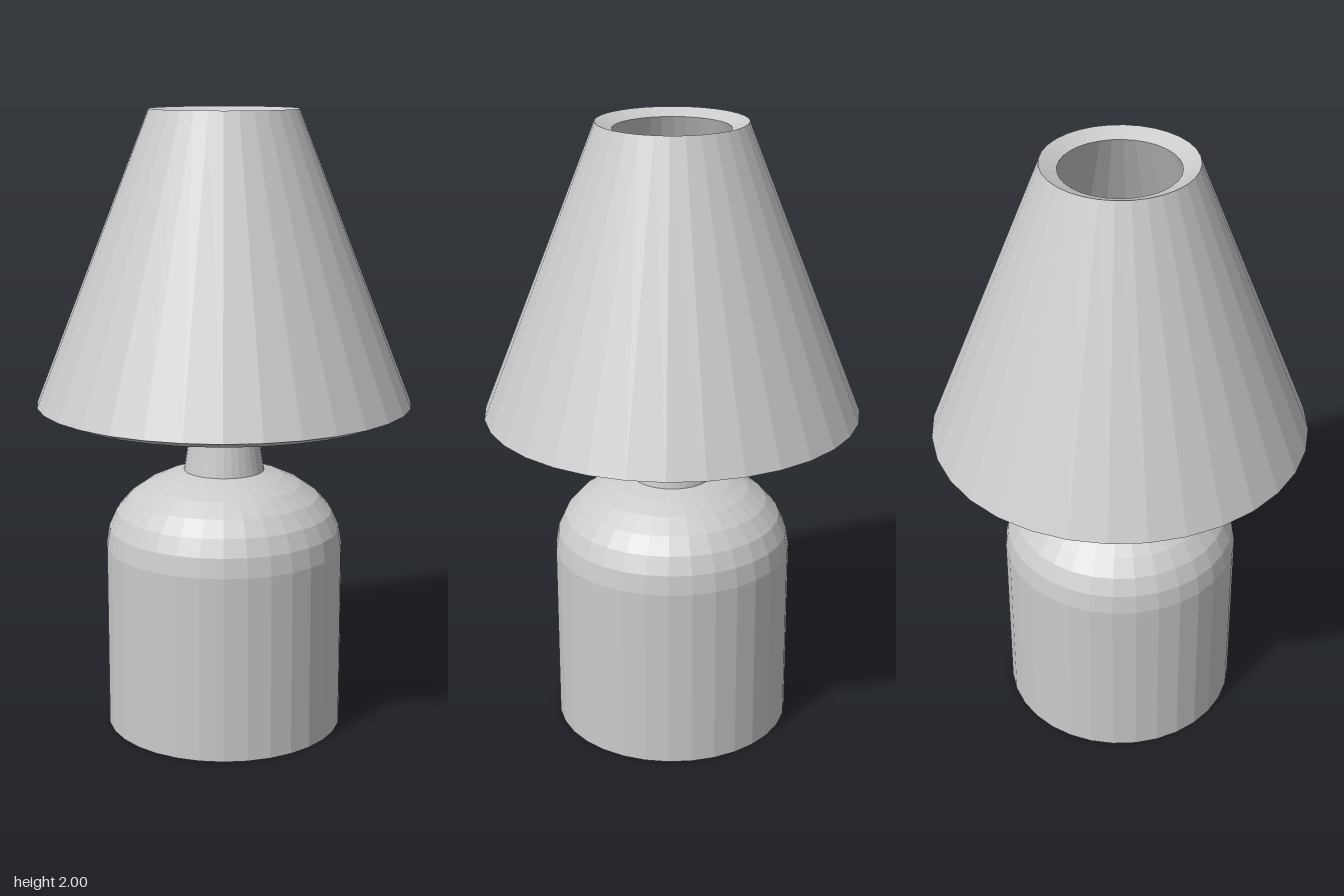
import * as THREE from 'three';

const SEGMENTS = 32;

export function createModel() {
  const group = new THREE.Group();
  const material = new THREE.MeshStandardMaterial({ color: 0xcccccc, flatShading: true });

  const add = (name, geometry, parent = group) => {
    const mesh = new THREE.Mesh(geometry, material);
    mesh.name = name;
    parent.add(mesh);
    return mesh;
  };
  // Profiles run upward on the outside as [radius, height]
  const lathe = (points) =>
    new THREE.LatheGeometry(points.map(([r, y]) => new THREE.Vector2(r, y)), SEGMENTS);

  // Bottle-shaped body with a rounded shoulder
  add('base', lathe([
    [0, 0], [0.385, 0], [0.385, 0.6], [0.375, 0.662], [0.35, 0.717],
    [0.307, 0.766], [0.25, 0.806], [0.19, 0.833], [0.13, 0.85], [0, 0.85],
  ]));

  // Tapered collar on the shoulder
  add('collar', lathe([[0, 0.85], [0.13, 0.85], [0.107, 1.0], [0, 1.0]]));

  // Socket that flares upward
  add('socket', lathe([[0, 1.0], [0.035, 1.0], [0.046, 1.085], [0, 1.085]]));

  // Pear-shaped bulb: narrow foot running into a sphere
  const bulb = [[0, 1.08], [0.033, 1.08], [0.037, 1.12], [0.05, 1.165]];
  for (let i = 0; i <= 10; i++) {
    const a = THREE.MathUtils.lerp(-0.5, Math.PI / 2, i / 10);
    bulb.push([i === 10 ? 0 : 0.076 * Math.cos(a), 1.237 + 0.076 * Math.sin(a)]);
  }
  add('bulb', lathe(bulb));

  // Thick conical shade, open at both ends, rims square to the wall
  add('shade', lathe([
    [0.6, 1.075], [0.235, 2.0], [0.182, 1.978], [0.547, 1.053], [0.6, 1.075],
  ]));

  // Four flat wedge arms holding the shade
  const arms = new THREE.Group();
  arms.name = 'shadeArms';
  group.add(arms);
  const wedge = new THREE.Shape();
  wedge.moveTo(0, 0);
  wedge.lineTo(0.54, -0.103);
  wedge.lineTo(0.54, 0.103);
  wedge.closePath();
  const armGeometry = new THREE.ExtrudeGeometry(wedge, { depth: 0.012, bevelEnabled: false });
  armGeometry.rotateX(-Math.PI / 2);
  for (let i = 0; i < 4; i++) {
    const arm = add('shadeArm', armGeometry, arms);
    arm.position.y = 1.115;
    arm.rotation.y = (i * Math.PI) / 2;
  }

  return group;
}
